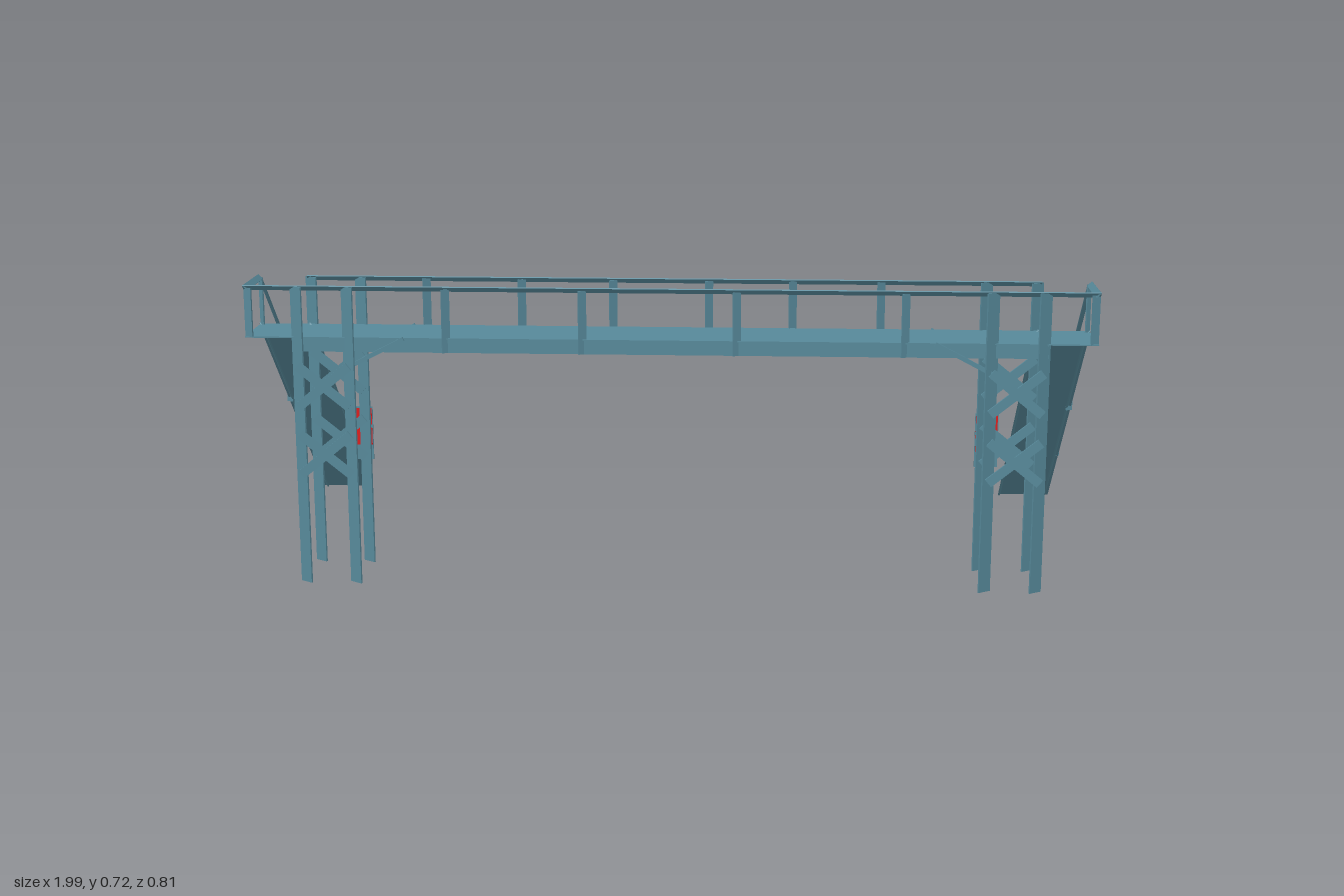
import * as THREE from 'three';

const steel = new THREE.MeshStandardMaterial({ color: 0x57899a });
steel.name = 'blue grey steel';
const red = new THREE.MeshStandardMaterial({ color: 0xdc1c1c });
red.name = 'sign red';

export function createModel() {
  const model = new THREE.Group();
  model.name = 'footbridge';

  function add(name, geometry, material = steel) {
    const mesh = new THREE.Mesh(geometry, material);
    mesh.name = name;
    model.add(mesh);
    return mesh;
  }

  // Box given by its extents along each axis
  function box(name, x0, x1, y0, y1, z0, z1, material) {
    add(name, new THREE.BoxGeometry(Math.abs(x1 - x0), y1 - y0, z1 - z0), material)
      .position.set((x0 + x1) / 2, (y0 + y1) / 2, (z0 + z1) / 2);
  }

  // Straight flat bar between two points, rolled about its own length
  function bar(name, a, b, w, h, roll = 0) {
    const from = new THREE.Vector3(...a), to = new THREE.Vector3(...b);
    const mesh = add(name, new THREE.BoxGeometry(w, h, from.distanceTo(to)));
    mesh.position.copy(from).add(to).multiplyScalar(0.5);
    mesh.lookAt(to);
    mesh.rotateZ(roll);
  }

  // Upright flat strip, turned about the vertical
  function upright(name, x, z, y0, y1, width, turn) {
    const mesh = add(name, new THREE.BoxGeometry(width, y1 - y0, 0.004));
    mesh.position.set(x, (y0 + y1) / 2, z);
    mesh.rotation.y = turn;
  }

  // Deck plate with a fascia along each long side
  box('deck', -0.995, 0.995, 0.597, 0.6, 0.228, 0.388);
  box('frontFascia', -0.88, 0.88, 0.565, 0.6, 0.38, 0.386);
  box('backFascia', -0.88, 0.88, 0.565, 0.6, 0.226, 0.232);

  // Deck railings, sloped towards the back
  bar('frontRail', [-0.995, 0.716, 0.384], [0.995, 0.716, 0.384], 0.016, 0.003, -Math.PI / 4);
  bar('backRail', [-0.88, 0.711, 0.216], [0.88, 0.711, 0.216], 0.016, 0.003, -Math.PI / 4);
  for (const x of [-0.52, -0.2, 0.16, 0.55])
    upright('frontRailPost', x, 0.386, 0.565, 0.715, 0.02, 0.5);
  for (const x of [-0.59, -0.36, -0.14, 0.09, 0.29, 0.5])
    upright('backRailPost', x, 0.221, 0.565, 0.712, 0.02, 0.5);

  for (const s of [-1, 1]) {
    // Railing round the end of the deck
    const roll = -s * Math.PI / 4;
    bar('endRail', [s * 0.989, 0.716, 0.389], [s * 0.989, 0.716, 0.24], 0.016, 0.003, roll);
    upright('endRailPost', s * 0.985, 0.383, 0.597, 0.715, 0.02, s * 0.4);
    upright('endRailPost', s * 0.988, 0.24, 0.597, 0.715, 0.012, s * 0.6);

    // Stair ramp, its tilted stringers and the outer handrail
    bar('stair', [s * 0.927, 0.594, 0.244], [s * 0.927, 0.026, -0.386], 0.132, 0.005);
    for (const x of [0.867, 0.988])
      bar('stairStringer', [s * x, 0.597, 0.244], [s * x, 0.028, -0.388], 0.024, 0.004, -s * 0.95);
    bar('stairHandrail', [s * 0.989, 0.714, 0.24], [s * 0.989, 0.133, -0.4], 0.016, 0.003, roll);
    for (const [y, z] of [[0.35, -0.012], [0.178, -0.215]])
      upright('stairRailPost', s * 0.988, z, y, y + 0.122, 0.016, s * 0.3);

    // Tower: a front and a back row of two slanted strip legs, cross braced
    for (const [z, top] of [[0.39, 0.72], [0.221, 0.714]]) {
      for (const x of [0.87, 0.75])
        upright('towerLeg', s * x, z, 0, top, 0.034, s * 0.588);
      for (const y of [0.27, 0.435]) {
        bar('crossBrace', [s * 0.87, y, z + 0.012], [s * 0.75, y + 0.098, z + 0.012], 0.006, 0.022);
        bar('crossBrace', [s * 0.87, y + 0.098, z + 0.012], [s * 0.75, y, z + 0.012], 0.006, 0.022);
      }
      bar('kneeBrace', [s * 0.75, 0.53, z], [s * 0.62, 0.598, z], 0.006, 0.01);
    }

    // Warning sign behind the inner leg: steel plate with red panels on both faces
    box('signPlate', s * 0.734, s * 0.79, 0.258, 0.391, 0.2055, 0.2095);
    for (const z of [0.2045, 0.2095])
      for (const [y0, y1] of [[0.295, 0.338], [0.346, 0.387]])
        box('signPanel', s * 0.736, s * 0.788, y0, y1, z, z + 0.001, red);
  }
  return model;
}
